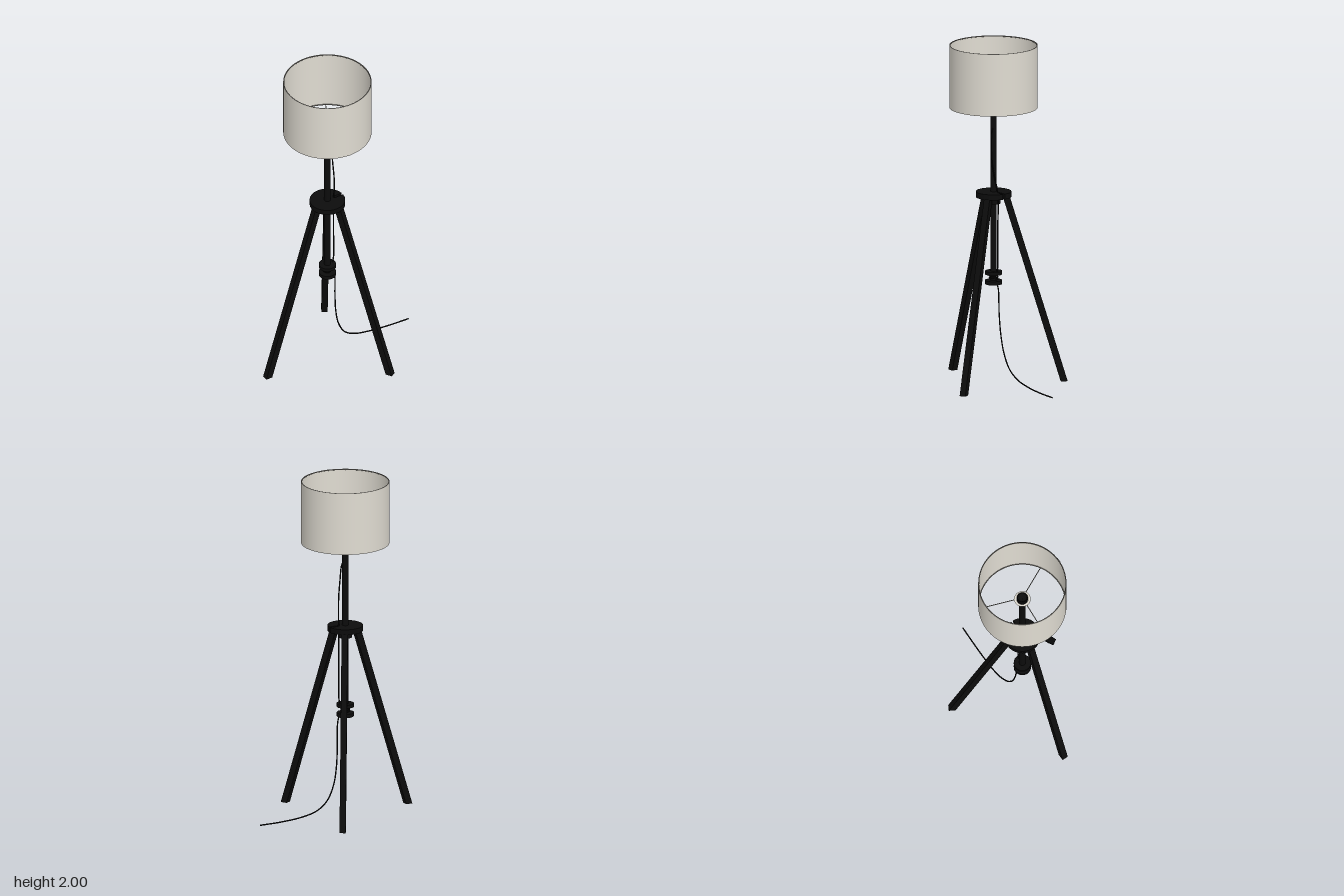
import * as THREE from 'three';

const black = new THREE.MeshStandardMaterial({ color: 0x0c0c0c });
black.name = 'black wood';
const cream = new THREE.MeshStandardMaterial({ color: 0xe0dcd2, side: THREE.DoubleSide });
cream.name = 'cream fabric';
const grey = new THREE.MeshStandardMaterial({ color: 0x85827b });
grey.name = 'grey wire';

const SHADE_R = 0.256, SHADE_LOW = 1.63, SHADE_TOP = 2;

export function createModel() {
  const model = new THREE.Group();
  model.name = 'tripodLamp';
  // The lamp stands off-centre because the cord trails to one side
  const lamp = new THREE.Group();
  lamp.name = 'lamp';
  lamp.position.x = -0.07;
  model.add(lamp);

  const add = (name, geometry, material, parent = lamp) => {
    const mesh = new THREE.Mesh(geometry, material);
    mesh.name = name;
    parent.add(mesh);
    return mesh;
  };
  const disc = (name, radius, low, high, material = black) => {
    const mesh = add(name, new THREE.CylinderGeometry(radius, radius, high - low, 40), material);
    mesh.position.y = (low + high) / 2;
    return mesh;
  };
  const ring = (name, radius, tube, y, material) => {
    const mesh = add(name, new THREE.TorusGeometry(radius, tube, 8, 64), material);
    mesh.rotation.x = Math.PI / 2;
    mesh.position.y = y;
    return mesh;
  };

  // Centre pole and the spool at its foot
  disc('pole', 0.0185, 0.585, 1.7);
  disc('spoolUpper', 0.05, 0.64, 0.66);
  disc('spoolLower', 0.05, 0.583, 0.605);
  disc('legHub', 0.04, 1.06, 1.1);

  // Round top plate with a slot for the cord
  const a = Math.asin(0.007 / 0.103);
  const plate = new THREE.Shape();
  plate.absarc(0, 0, 0.103, a, Math.PI * 2 - a, false);
  plate.lineTo(0.05, -0.007);
  plate.absarc(0.05, 0, 0.007, -Math.PI / 2, Math.PI / 2, true);
  plate.closePath();
  const plateGeo = new THREE.ExtrudeGeometry(plate, { depth: 0.032, bevelEnabled: false, curveSegments: 40 });
  plateGeo.rotateX(-Math.PI / 2);
  add('topPlate', plateGeo, black).position.y = 1.1;

  // Three splayed square legs, cut level at both ends, and the wire spokes above them
  for (let i = 0; i < 3; i++) {
    const arm = new THREE.Group();
    arm.name = 'arm' + (i + 1);
    arm.rotation.y = Math.PI / 3 + i * Math.PI * 2 / 3;
    lamp.add(arm);

    const legGeo = new THREE.BoxGeometry(0.04, 1.102, 0.036);
    legGeo.translate(0, 0.551, 0);
    const p = legGeo.attributes.position;
    for (let v = 0; v < p.count; v++) {
      p.setX(v, p.getX(v) + THREE.MathUtils.lerp(0.41, 0.073, p.getY(v) / 1.102));
    }
    legGeo.computeVertexNormals();
    add('leg', legGeo, black, arm);

    const spoke = new THREE.CatmullRomCurve3([
      new THREE.Vector3(0.043, 1.735, 0),
      new THREE.Vector3(0.15, 1.685, 0),
      new THREE.Vector3(0.253, 1.635, 0),
    ]);
    add('shadeSpoke', new THREE.TubeGeometry(spoke, 8, 0.0025, 6), grey, arm);
  }

  // Bulb socket: collar, and an open cup seen from above
  disc('socketCollar', 0.026, 1.67, 1.73);
  const cup = [[0, 1.73], [0.032, 1.73], [0.032, 1.76], [0.025, 1.76], [0.025, 1.735], [0, 1.735]]
    .map(([x, y]) => new THREE.Vector2(x, y));
  add('socketCup', new THREE.LatheGeometry(cup, 32), black);
  const hub = add('shadeHubRing', new THREE.RingGeometry(0.034, 0.048, 40), cream);
  hub.rotation.x = -Math.PI / 2;
  hub.position.y = 1.737;

  // Drum shade with a glued seam and wire rims
  const height = SHADE_TOP - SHADE_LOW;
  const middle = (SHADE_TOP + SHADE_LOW) / 2;
  add('shade', new THREE.CylinderGeometry(SHADE_R, SHADE_R, height, 80, 1, true), cream).position.y = middle;
  add('shadeSeam', new THREE.CylinderGeometry(SHADE_R + 0.0015, SHADE_R + 0.0015, height, 6, 1, true, -0.08, 0.12), cream)
    .position.y = middle;
  ring('shadeRimTop', SHADE_R - 0.003, 0.003, SHADE_TOP - 0.003, grey);
  ring('shadeRimBottom', SHADE_R - 0.003, 0.003, SHADE_LOW + 0.003, grey);

  // Cord: out of the pole, through the slot, round the spool, then onto the floor
  const cord = [
    [-0.065, 1.53, 0.005], [-0.057, 1.48, 0.024], [-0.052, 1.4, 0.031], [-0.043, 1.3, 0.03],
    [-0.033, 1.21, 0.015], [-0.027, 1.12, 0], [-0.028, 0.9, 0], [-0.03, 0.68, 0],
  ].map((c) => new THREE.Vector3(...c));
  for (let i = 0; i <= 24; i++) {
    const t = i / 12 * Math.PI * 2;
    cord.push(new THREE.Vector3(-0.07 + 0.025 * Math.cos(t), 0.635 - i * 0.001, 0.025 * Math.sin(t)));
  }
  [
    [-0.022, 0.56, 0], [-0.017, 0.42, -0.002], [-0.008, 0.29, -0.008], [0.015, 0.18, -0.015], [0.06, 0.095, -0.022],
    [0.13, 0.045, -0.029], [0.23, 0.02, -0.03], [0.36, 0.008, -0.026], [0.5, 0.005, -0.02],
  ].forEach((c) => cord.push(new THREE.Vector3(...c)));
  add('cord', new THREE.TubeGeometry(new THREE.CatmullRomCurve3(cord), 320, 0.004, 8), black, model);

  return model;
}
